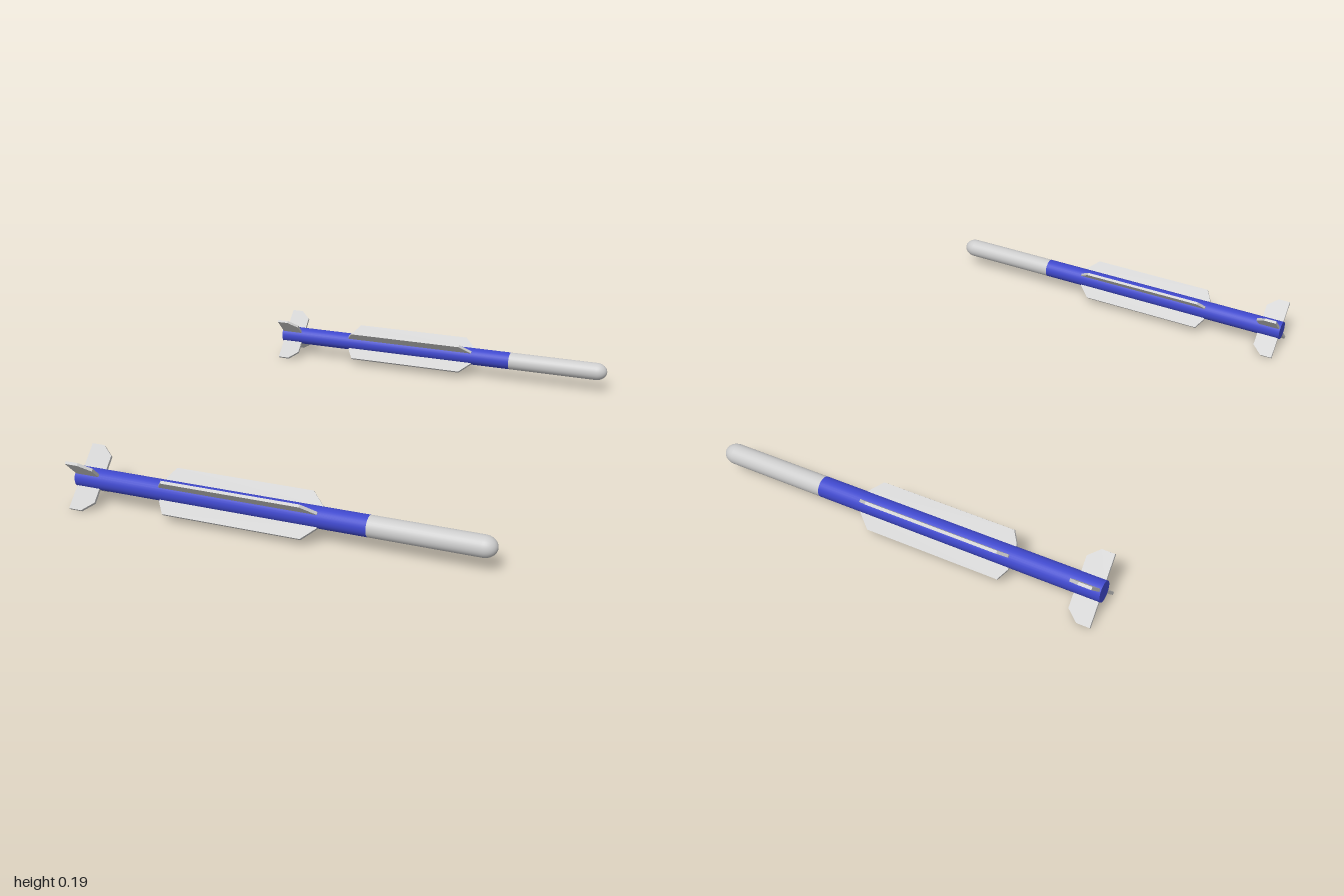
import * as THREE from 'three';

const RADIUS = 0.039;
const SPAN = 0.096; // vertical reach of the diagonal tail fins
const THICK = 0.011;

const blue = new THREE.MeshStandardMaterial({ color: 0x3f48cc });
blue.name = 'bodyBlue';
const grey = new THREE.MeshStandardMaterial({ color: 0xcccccc });
grey.name = 'lightGrey';

// Surface of revolution along +x from [x, radius] pairs
function turned(name, profile, material) {
  const geometry = new THREE.LatheGeometry(profile.map(([x, r]) => new THREE.Vector2(r, x)), 32);
  geometry.rotateZ(-Math.PI / 2);
  const mesh = new THREE.Mesh(geometry, material);
  mesh.name = name;
  return mesh;
}

// Four flat plates around the body, set diagonally; outline is [x, radial distance]
function finSet(name, outline) {
  const shape = new THREE.Shape(outline.map(([x, r]) => new THREE.Vector2(x, r)));
  const geometry = new THREE.ExtrudeGeometry(shape, { depth: THICK, bevelEnabled: false });
  geometry.translate(0, 0, -THICK / 2);
  const set = new THREE.Group();
  set.name = name + 's';
  for (let i = 0; i < 4; i++) {
    const fin = new THREE.Mesh(geometry, grey);
    fin.name = name;
    fin.rotation.x = Math.PI / 4 + i * Math.PI / 2;
    set.add(fin);
  }
  return set;
}

function createMissile() {
  const missile = new THREE.Group();

  // Blue motor tube with a closed tail
  const tube = new THREE.Mesh(new THREE.CylinderGeometry(RADIUS, RADIUS, 1.14, 32), blue);
  tube.rotation.z = -Math.PI / 2;
  tube.position.x = -0.225;
  tube.name = 'motorTube';
  missile.add(tube);

  // Grey forward section and rounded tip
  missile.add(turned('forwardSection', [[0.345, RADIUS], [0.747, RADIUS]], grey));
  const tip = [];
  for (let i = 0; i <= 10; i++) {
    const a = (i / 10) * Math.PI / 2;
    tip.push([0.747 + 0.048 * Math.sin(a), i === 10 ? 0 : RADIUS * Math.cos(a)]);
  }
  missile.add(turned('noseTip', tip, grey));

  // Long mid-body wings and short tail fins
  missile.add(finSet('wing', [[-0.447, 0.02], [0.165, 0.02], [0.165, 0.041], [0.115, 0.09], [-0.42, 0.09], [-0.447, 0.046]]));
  missile.add(finSet('tailFin', [[-0.79, 0.02], [-0.697, 0.02], [-0.697, 0.093], [-0.74, 0.13], [-0.79, 0.13]]));
  return missile;
}

export function createModel() {
  const model = new THREE.Group();
  model.name = 'missilePair';
  for (const side of [1, -1]) {
    const missile = createMissile();
    missile.name = side > 0 ? 'frontMissile' : 'rearMissile';
    missile.position.set(0, SPAN, side * (1 - SPAN));
    model.add(missile);
  }
  return model;
}
